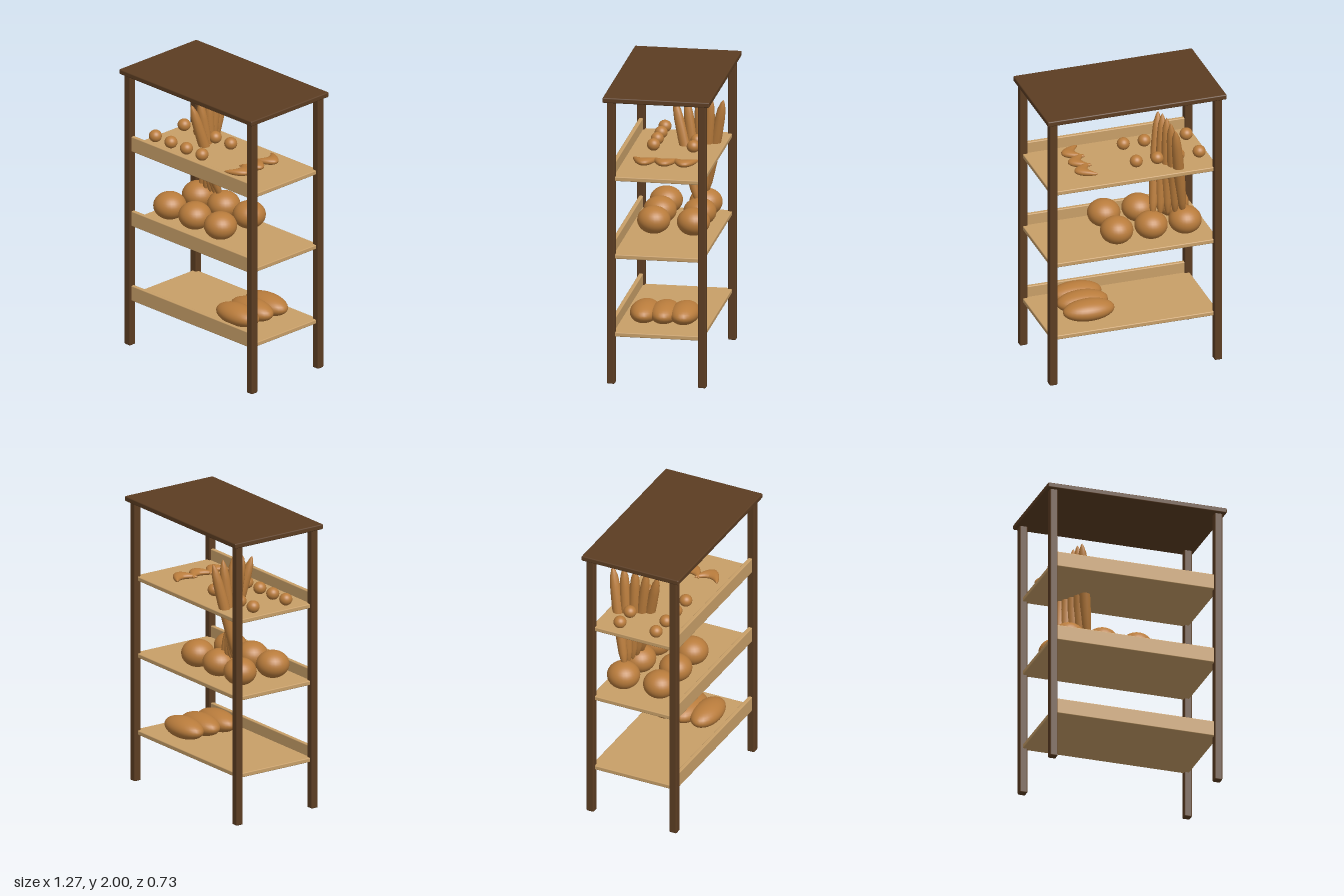
import * as THREE from 'three';
import { RoundedBoxGeometry } from 'three/addons/geometries/RoundedBoxGeometry.js';

const material = (name, color) => {
  const m = new THREE.MeshStandardMaterial({ color });
  m.name = name;
  return m;
};

export function createModel() {
  const darkWood = material('dark wood', 0x5c3d22);
  const paleWood = material('pale wood', 0xc89f68);
  const crust = material('bread crust', 0xb97c3c);
  const model = new THREE.Group();
  model.name = 'breadRack';

  const add = (name, geometry, mat, x, y, z) => {
    const mesh = new THREE.Mesh(geometry, mat);
    mesh.name = name;
    mesh.position.set(x, y, z);
    model.add(mesh);
    return mesh;
  };
  const board = (w, h, d, r) => new RoundedBoxGeometry(w, h, d, 2, r);
  const loaf = (rx, ry, rz) => new THREE.SphereGeometry(1, 28, 18).scale(rx, ry, rz);

  // Frame: four posts and a flat roof board
  const postGeometry = board(0.054, 1.975, 0.054, 0.008);
  for (const x of [-0.583, 0.583])
    for (const z of [-0.31, 0.31]) add('post', postGeometry, darkWood, x, 0.9875, z);
  add('roof', board(1.266, 0.036, 0.726, 0.008), darkWood, 0, 1.982, 0);

  // Shelves, each with a raised lip along the front
  const shelfGeometry = board(1.18, 0.03, 0.62, 0.006);
  const lipGeometry = board(1.18, 0.108, 0.028, 0.006);
  for (const y of [0.325, 0.868, 1.41]) {
    add('shelf', shelfGeometry, paleWood, 0, y + 0.015, 0);
    add('shelfLip', lipGeometry, paleWood, 0, y + 0.054, 0.308);
  }

  // Bottom shelf: three long loaves
  const longLoaf = loaf(0.18, 0.071, 0.1);
  for (const z of [0.135, 0, -0.135]) add('longLoaf', longLoaf, crust, 0.268, 0.422, z);

  // Middle shelf: two rows of round loaves
  const roundLoaf = loaf(0.112, 0.093, 0.112);
  for (const x of [-0.405, -0.165, 0.078])
    for (const z of [0.11, -0.16]) add('roundLoaf', roundLoaf, crust, x, 1.003, z);

  // Top shelf: two rows of small buns
  const bun = loaf(0.044, 0.042, 0.044);
  for (const x of [-0.515, -0.366, -0.218, -0.07])
    for (const z of [0.138, -0.132]) add('bun', bun, crust, x, 1.483, z);

  // Top shelf: crescent rolls, ellipsoids bent so the horns point to -x
  const crescent = loaf(0.048, 0.024, 0.085);
  const p = crescent.attributes.position;
  for (let i = 0; i < p.count; i++) {
    const t = p.getZ(i) / 0.085;
    p.setX(i, p.getX(i) - 0.085 * t * t);
  }
  crescent.computeVertexNormals();
  for (const z of [0.138, 0, -0.135]) add('crescentRoll', crescent, crust, 0.32, 1.476, z);

  // Baguettes: a twisted fan, spread in x at the foot and in z at the tips
  const profile = [[0, 0], [0.018, 0.03], [0.03, 0.1], [0.037, 0.25], [0.038, 0.45],
    [0.034, 0.58], [0.027, 0.65], [0.012, 0.7], [0, 0.72]].map(([r, y]) => new THREE.Vector2(r, y));
  const baguette = new THREE.LatheGeometry(profile, 12);
  const up = new THREE.Vector3(0, 1, 0);
  for (let i = 0; i < 5; i++) {
    const k = i - 2;
    const foot = new THREE.Vector3(-0.285 - 0.052 * k, 1.055, -0.152 - 0.004 * k);
    const tip = new THREE.Vector3(-0.285, 1.78, -0.132 - 0.086 * k);
    const mesh = add('baguette', baguette, crust, foot.x, foot.y, foot.z);
    mesh.quaternion.setFromUnitVectors(up, tip.sub(foot).normalize());
  }

  return model;
}
